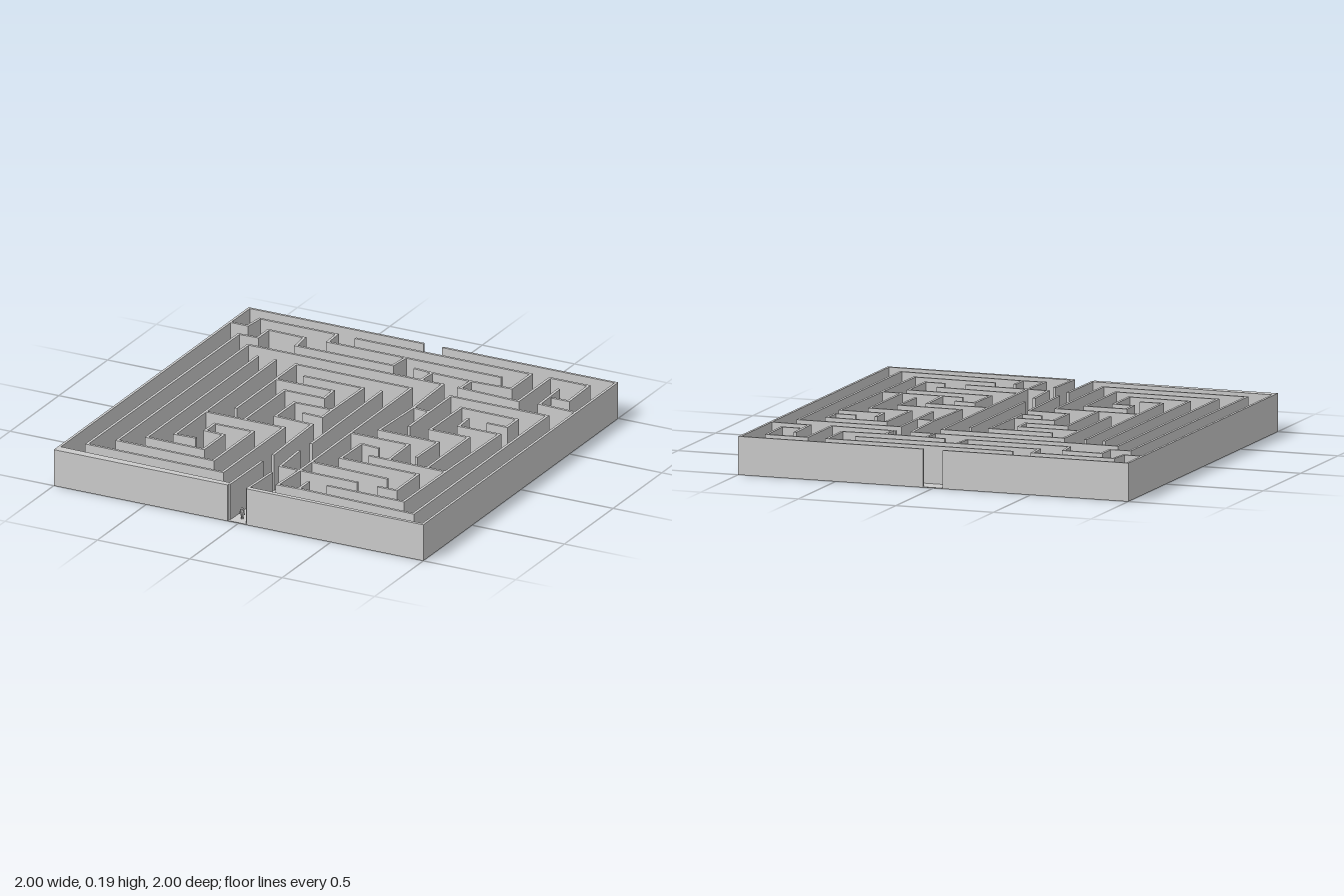
import * as THREE from 'three';

// The plan is drawn on a 374 x 374 sheet: x to the right, z towards the front.
const SHEET = 374;
const SCALE = 2 / SHEET;
const HEIGHT = 0.187;
const THICK = 0.014;

const toModel = ([x, z]) => new THREE.Vector2(x * SCALE - 1, z * SCALE - 1);

const innerWalls = {
  backLeftWalls: [
    [[1, 38], [19, 38], [21, 18.5], [99, 18.5], [100, 38], [276, 38]],
    [[179, 38], [177, 59], [79, 59], [77, 39], [40, 38], [40, 58], [21, 59], [20, 348], [158, 349], [158, 232], [80, 232]],
    [[118, 19], [296, 19], [296, 57], [258, 59], [216, 58], [197, 56]],
    [[216, 58], [215, 76]],
  ],
  leftWalls: [
    [[60, 96], [60, 309], [118, 310], [118, 272], [99, 271], [99, 253], [138, 253], [138, 329], [40, 328],
      [40, 77], [237, 77], [239, 137], [236, 197], [296, 198], [295, 238]],
    [[78, 96], [79, 291], [100, 290]],
    [[118, 232], [118, 155], [158, 155], [157, 136], [100, 136]],
    [[99, 213], [99, 97], [216, 98], [217, 313]],
    [[118, 118], [178, 118], [177, 175], [139, 176], [139, 212], [177, 214], [179, 293]],
    [[177, 175], [177, 195], [157, 194]],
  ],
  backRightWalls: [
    [[256, 58], [255, 77]],
    [[252, 77], [315, 80], [315, 19], [354, 19], [355, 59], [338, 59]],
    [[334, 38], [335, 77], [373, 79]],
  ],
  rightWalls: [
    [[239, 137], [255, 139]],
    [[256, 178], [256, 98], [354, 98], [354, 355], [237, 351], [215, 352], [217, 313]],
    [[236, 351], [236, 332]],
    [[195, 273], [197, 313], [276, 314]],
    [[217, 215], [275, 215], [276, 254]],
    [[256, 254], [334, 255], [333, 334], [255, 333]],
    [[334, 255], [336, 156], [295, 156], [294, 136]],
    [[315, 254], [315, 175], [276, 175], [277, 117], [334, 118], [334, 138], [314, 138]],
    [[217, 291], [296, 294]],
    [[256, 235], [237, 233], [236, 271], [315, 272], [315, 314], [296, 314]],
    [[196, 116], [197, 254]],
  ],
  entranceWalls: [
    [[177, 310], [176, 371]],
    [[197, 329], [195, 372]],
  ],
};

// Outer walls as closed outlines, open at the front and back gates
const outerWalls = {
  outerWallLeft: [[0, 0], [178, 0], [178, 2.5], [2.5, 2.5], [2.5, 365], [176, 368], [176, 374], [0, 374]],
  outerWallRight: [[374, 0], [197, 0], [197, 2.5], [371.5, 2.5], [371.5, 371], [195, 369], [195, 374], [374, 374]],
};

// Raises a flat plan outline into a wall standing on the floor
function raise(outline) {
  const shape = new THREE.Shape(outline.map((p) => new THREE.Vector2(p.x, -p.y)));
  const geometry = new THREE.ExtrudeGeometry(shape, { depth: HEIGHT - 0.001, bevelEnabled: false });
  return geometry.rotateX(-Math.PI / 2).translate(0, 0.001, 0);
}

// Widens a path into a band with mitred corners
function band(path) {
  const points = path.map(toModel);
  const left = [], right = [];
  points.forEach((p, i) => {
    const before = points[Math.max(i - 1, 0)], after = points[Math.min(i + 1, points.length - 1)];
    const a = (i > 0 ? p.clone().sub(before) : after.clone().sub(p)).normalize();
    const b = (i < points.length - 1 ? after.clone().sub(p) : a.clone()).normalize();
    const normalA = new THREE.Vector2(-a.y, a.x);
    const mitre = normalA.clone().add(new THREE.Vector2(-b.y, b.x)).normalize();
    mitre.multiplyScalar(THICK / 2 / mitre.dot(normalA));
    left.push(p.clone().add(mitre));
    right.unshift(p.clone().sub(mitre));
  });
  return [...left, ...right];
}

function createWalker(material) {
  const walker = new THREE.Group();
  walker.name = 'walker';
  const add = (name, geometry, x, y, tilt = 0) => {
    const mesh = new THREE.Mesh(geometry, material);
    mesh.name = name;
    mesh.position.set(x, y, 0);
    mesh.rotation.z = tilt;
    walker.add(mesh);
  };
  add('head', new THREE.SphereGeometry(0.006, 12, 8), 0, 0.057);
  add('torso', new THREE.CylinderGeometry(0.008, 0.006, 0.022, 10).scale(1, 1, 0.65), 0, 0.041);
  for (const side of [-1, 1]) {
    add('arm', new THREE.CylinderGeometry(0.002, 0.002, 0.024, 6), side * 0.011, 0.039, side * 0.2);
    add('leg', new THREE.CylinderGeometry(0.0035, 0.0025, 0.03, 8), side * 0.004, 0.017);
  }
  walker.position.set(-0.007, 0, 0.95);
  return walker;
}

export function createModel() {
  const model = new THREE.Group();
  model.name = 'maze';
  const material = new THREE.MeshStandardMaterial({ color: 0xcccccc });

  // Floor slab
  const floor = new THREE.Mesh(new THREE.BoxGeometry(2, 0.003, 2).translate(0, 0.0015, 0), material);
  floor.name = 'floor';
  model.add(floor);

  // Outer walls
  for (const [name, outline] of Object.entries(outerWalls)) {
    const wall = new THREE.Mesh(raise(outline.map(toModel)), material);
    wall.name = name;
    model.add(wall);
  }

  // Inner walls, grouped by area
  for (const [name, paths] of Object.entries(innerWalls)) {
    const area = new THREE.Group();
    area.name = name;
    for (const path of paths) {
      const wall = new THREE.Mesh(raise(band(path)), material);
      wall.name = 'wall';
      area.add(wall);
    }
    model.add(area);
  }

  // Small person standing in the front gate
  model.add(createWalker(material));
  return model;
}
